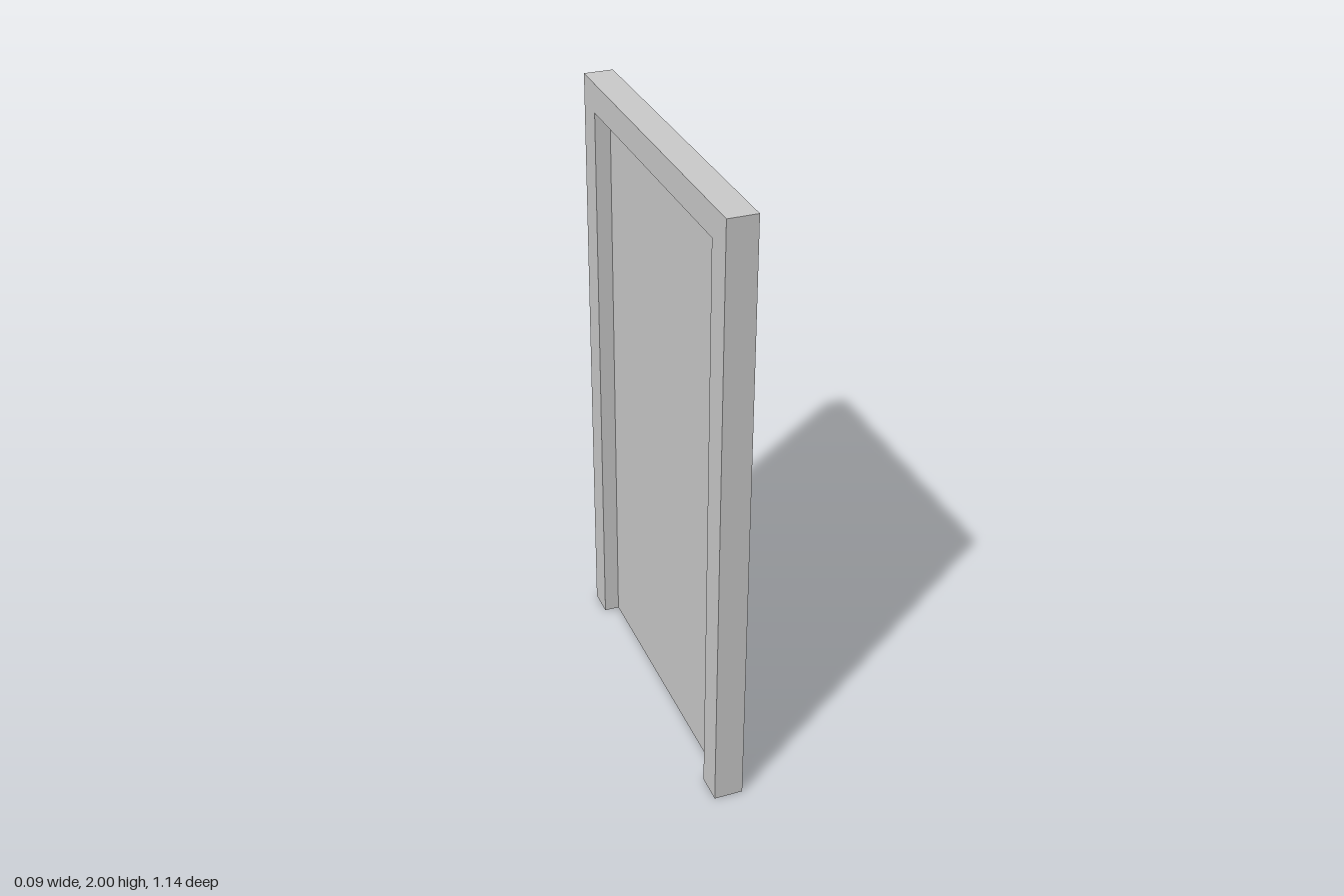
import * as THREE from 'three';

const HEIGHT = 2, HALF_WIDTH = 0.571, DEPTH = 0.094;
const BORDER = 0.095; // width of the frame's posts and lintel
const PANEL = 0.044;  // thickness of the door leaf

export function createModel() {
  const group = new THREE.Group();
  const material = new THREE.MeshStandardMaterial({ color: 0xcccccc, flatShading: true });
  const inner = HALF_WIDTH - BORDER, top = HEIGHT - BORDER;

  // Frame: two posts and a lintel, open at the floor
  const outline = new THREE.Shape([
    [-HALF_WIDTH, 0], [-inner, 0], [-inner, top], [inner, top],
    [inner, 0], [HALF_WIDTH, 0], [HALF_WIDTH, HEIGHT], [-HALF_WIDTH, HEIGHT],
  ].map(([x, y]) => new THREE.Vector2(x, y)));
  const frameGeometry = new THREE.ExtrudeGeometry(outline, { depth: DEPTH, bevelEnabled: false });
  frameGeometry.translate(0, 0, -DEPTH / 2).rotateY(Math.PI / 2);
  const frame = new THREE.Mesh(frameGeometry, material);
  frame.name = 'doorFrame';

  // Leaf: flush with the frame on +x, recessed on -x
  const leaf = new THREE.Mesh(new THREE.BoxGeometry(PANEL, top, inner * 2), material);
  leaf.position.set((DEPTH - PANEL) / 2, top / 2, 0);
  leaf.name = 'doorPanel';

  group.add(frame, leaf);
  return group;
}
